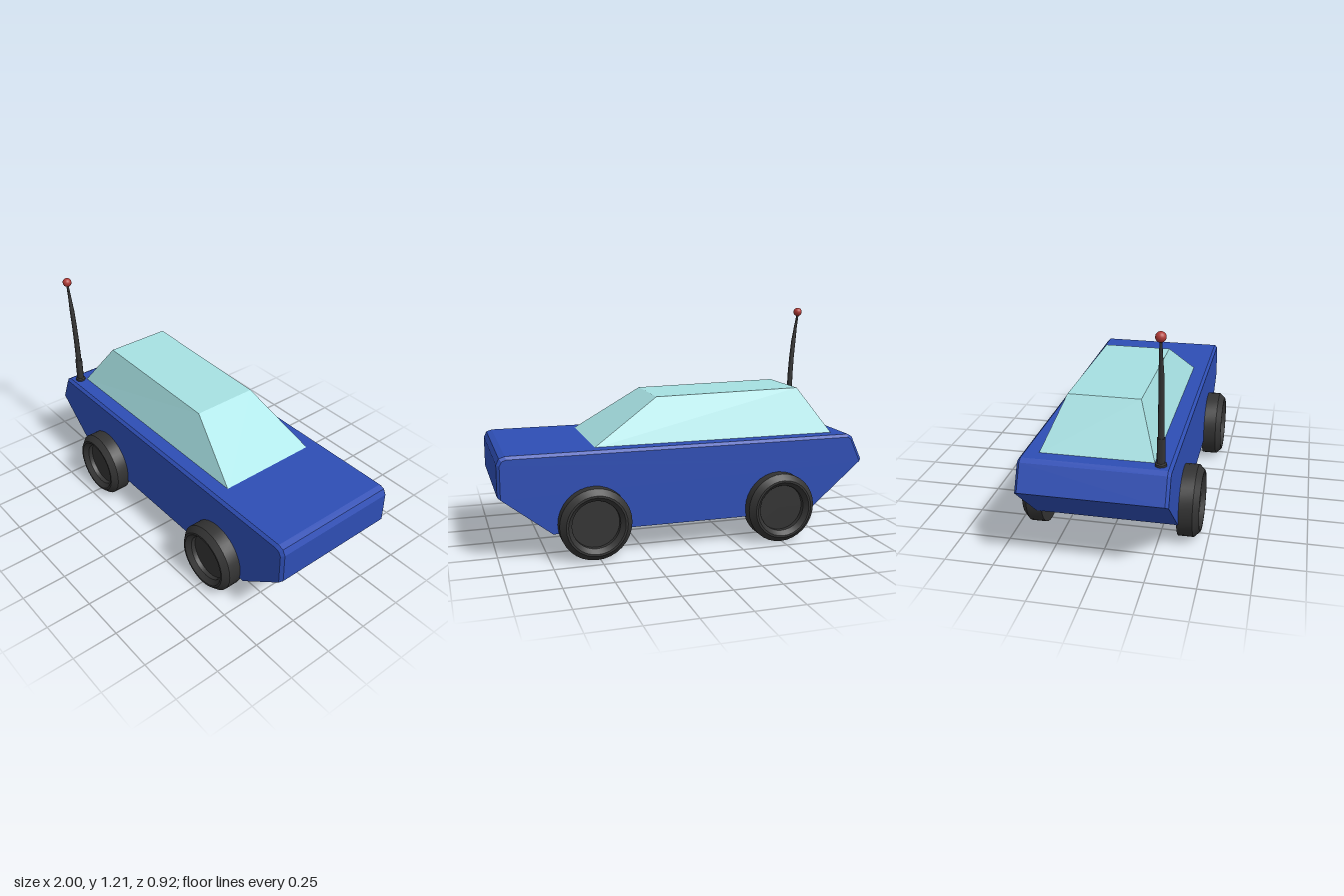
import * as THREE from 'three';
import { toCreasedNormals } from 'three/addons/utils/BufferGeometryUtils.js';

// Flat-faced solid through a list of convex rings, capped at both ends
function loft(rings) {
  const pos = [];
  const tri = (a, b, c) => pos.push(...a, ...b, ...c);
  const n = rings[0].length;
  for (let s = 0; s < rings.length - 1; s++) {
    for (let i = 0; i < n; i++) {
      const j = (i + 1) % n;
      const [a, b, c, d] = [rings[s][i], rings[s][j], rings[s + 1][j], rings[s + 1][i]];
      tri(a, b, c);
      tri(a, c, d);
    }
  }
  const first = rings[0], last = rings[rings.length - 1];
  for (let i = 1; i < n - 1; i++) {
    tri(first[0], first[i + 1], first[i]);
    tri(last[0], last[i], last[i + 1]);
  }
  const g = new THREE.BufferGeometry();
  g.setAttribute('position', new THREE.Float32BufferAttribute(pos, 3));
  g.computeVertexNormals();
  return g;
}

// Smooth lathe with sharp profile corners
function turned(points, segments) {
  const g = new THREE.LatheGeometry(points.map(([r, y]) => new THREE.Vector2(r, y)), segments);
  return toCreasedNormals(g, 0.5);
}

export function createModel() {
  const group = new THREE.Group();
  const blue = new THREE.MeshStandardMaterial({ name: 'body blue', color: 0x2e4eb4 });
  const glass = new THREE.MeshStandardMaterial({ name: 'pale glass', color: 0xa6e0e2 });
  const black = new THREE.MeshStandardMaterial({ name: 'rubber black', color: 0x333333 });
  const red = new THREE.MeshStandardMaterial({ name: 'tip red', color: 0xb03a36 });

  const add = (name, geometry, material, x = 0, y = 0, z = 0) => {
    const m = new THREE.Mesh(geometry, material);
    m.name = name;
    m.position.set(x, y, z);
    group.add(m);
    return m;
  };

  // Body: side profile, with the upper edges bevelled toward both flanks
  const full = [[-1, 0.41], [-0.68, 0.14], [0.73, 0.14], [1, 0.35], [1, 0.515],
    [0.985, 0.545], [0.955, 0.555], [-0.915, 0.555], [-0.94, 0.54]];
  const inset = [[-0.985, 0.4], [-0.68, 0.14], [0.73, 0.14], [0.985, 0.338], [0.985, 0.51],
    [0.973, 0.532], [0.95, 0.54], [-0.91, 0.54], [-0.928, 0.528]];
  const ring = (profile, z) => profile.map(([x, y]) => [x, y, z]);
  add('body', loft([ring(inset, -0.375), ring(full, -0.36), ring(full, 0.345), ring(inset, 0.36)]), blue);

  // Cabin: tapered block with a slightly sloping roof
  const box = (x0, y0, x1, y1, z0, z1) => [[x0, y0, z1], [x1, y1, z1], [x1, y1, z0], [x0, y0, z0]];
  add('cabin', loft([
    box(-0.85, 0.55, 0.5, 0.55, -0.292, 0.272),
    box(-0.68, 0.8, 0.135, 0.786, -0.19, 0.173),
  ]), glass);

  // Wheels: chamfered tyre with a recessed hub
  const wheel = turned([[0, 0], [0.187, 0], [0.187, 0.08], [0.158, 0.11], [0.147, 0.11],
    [0.125, 0.085], [0.125, 0.06], [0, 0.06]], 32);
  for (const [end, x] of [['rear', -0.495], ['front', 0.52]]) {
    for (const [side, s] of [['Near', 1], ['Far', -1]]) {
      const w = add(end + side + 'Wheel', wheel, black, x, 0.188, 0.35 * s);
      w.rotation.x = s * Math.PI / 2;
    }
  }

  // Aerial: stepped rod whose upper part leans backward
  const bend = y => -0.042 * Math.max(0, (y - 0.13) / 0.49) ** 2;
  const rod = new THREE.LatheGeometry([[0, 0], [0.028, 0], [0.028, 0.012], [0.02, 0.016], [0.02, 0.14],
    [0.016, 0.14], [0.015, 0.25], [0.014, 0.36], [0.013, 0.46], [0.009, 0.54], [0.006, 0.63]]
    .map(([r, y]) => new THREE.Vector2(r, y)), 12);
  const p = rod.attributes.position;
  for (let i = 0; i < p.count; i++) p.setX(i, p.getX(i) + bend(p.getY(i)));
  add('aerial', toCreasedNormals(rod, 0.6), black, -0.867, 0.555, 0.302);
  add('aerialTip', new THREE.SphereGeometry(0.025, 20, 14), red, -0.909, 1.189, 0.302);

  return group;
}
